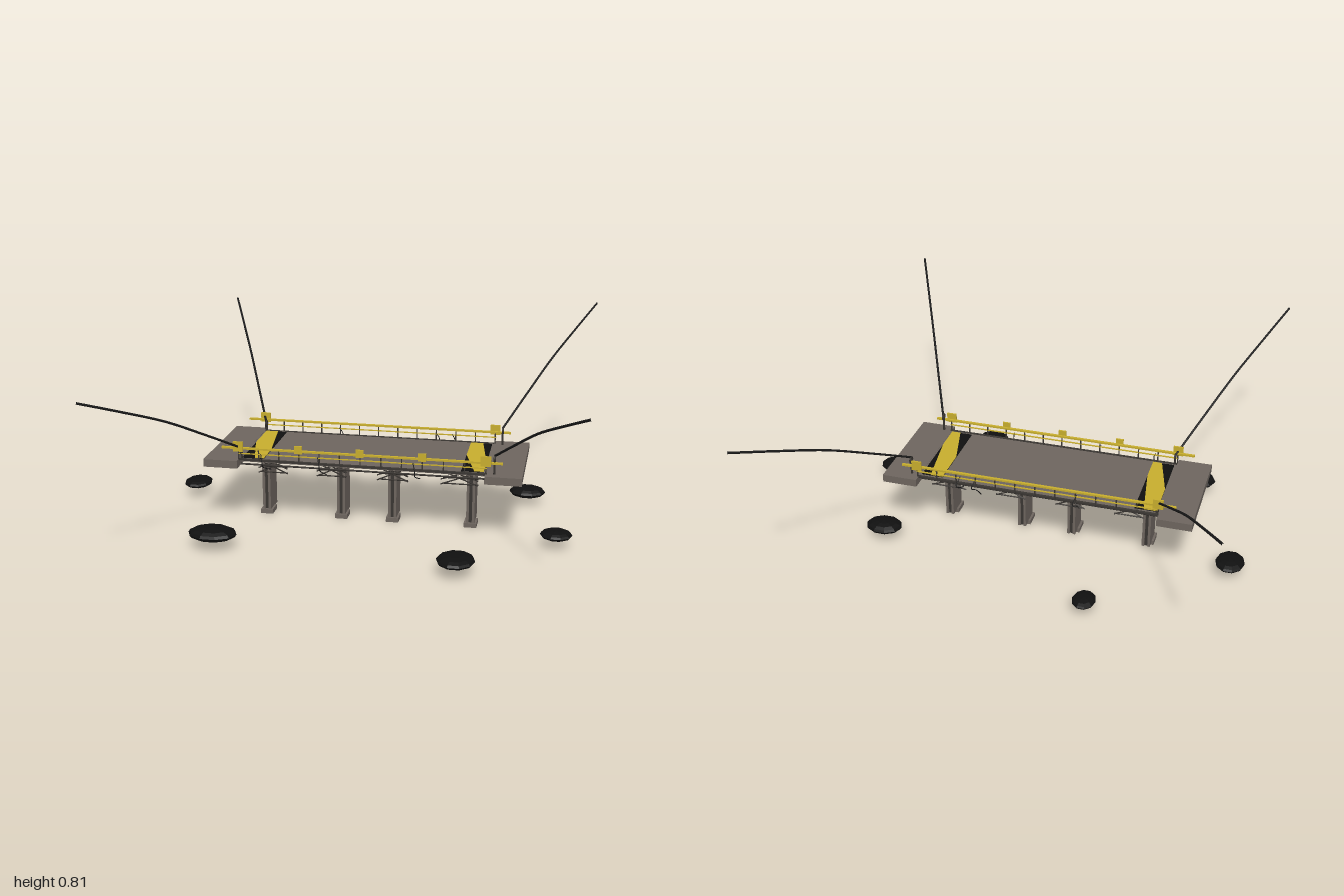
import * as THREE from 'three';

const mat = (name, color, flat = false) => {
  const m = new THREE.MeshStandardMaterial({ color, flatShading: flat });
  m.name = name;
  return m;
};

export function createModel() {
  const root = new THREE.Group();
  root.name = 'suspendedBridge';
  const concrete = mat('concrete', 0x6e665f);
  const yellow = mat('warningYellow', 0xc8ae2e);
  const black = mat('black', 0x101010, true);
  const steel = mat('darkSteel', 0x3a3632);
  const cable = mat('cableBlack', 0x1c1c1c);

  const add = (name, geo, m, x = 0, y = 0, z = 0) => {
    const mesh = new THREE.Mesh(geo, m);
    mesh.name = name;
    mesh.position.set(x, y, z);
    root.add(mesh);
    return mesh;
  };
  const box = (name, m, w, h, d, x, y, z) => add(name, new THREE.BoxGeometry(w, h, d), m, x, y, z);
  const V = (x, y, z) => new THREE.Vector3(x, y, z);
  // straight round bar between two points
  const bar = (name, m, a, b, r, sides = 6) => {
    const mesh = add(name, new THREE.CylinderGeometry(r, r, a.distanceTo(b), sides), m);
    mesh.position.copy(a).add(b).multiplyScalar(0.5);
    mesh.quaternion.setFromUnitVectors(V(0, 1, 0), b.clone().sub(a).normalize());
    return mesh;
  };
  const tube = (name, m, pts, r, seg = 24) =>
    add(name, new THREE.TubeGeometry(new THREE.CatmullRomCurve3(pts), seg, r, 6), m);

  // deck and end platforms
  const cz = -0.005;
  box('deck', concrete, 1.08, 0.012, 0.41, -0.025, 0.297, cz);
  box('leftPlatform', concrete, 0.155, 0.034, 0.49, 0.58, 0.287, cz);
  box('rightPlatform', concrete, 0.15, 0.034, 0.49, -0.635, 0.287, cz);

  // stringers under the deck
  for (const z of [-0.18, -0.06, 0.06, 0.18])
    bar('stringer', steel, V(-0.56, 0.273, z), V(0.51, 0.273, z), 0.004);

  // hazard markings: black plate with a slanted yellow band
  for (const x0 of [-0.55, 0.4]) {
    const w = 0.095, z0 = -0.195, z1 = 0.187;
    box('hazardPlate', black, w, 0.003, z1 - z0, x0 + w / 2, 0.3045, (z0 + z1) / 2);
    const s = new THREE.Shape();
    s.moveTo(0, -z0);
    s.lineTo(0.055, -z0);
    s.lineTo(w, -z1 + 0.12);
    s.lineTo(w, -z1);
    s.lineTo(0.055, -z1);
    s.lineTo(0, 0.02);
    const g = new THREE.ExtrudeGeometry(s, { depth: 0.002, bevelEnabled: false });
    g.rotateX(-Math.PI / 2);
    add('hazardBand', g, yellow, x0, 0.3055, 0);
  }

  // columns with flanges, recessed web and offset footing
  for (const x of [-0.485, -0.145, 0.085, 0.43]) {
    for (const s of [-1, 1]) box('columnFlange', concrete, 0.011, 0.28, 0.105, x + s * 0.0125, 0.155, 0.002);
    box('columnWeb', steel, 0.016, 0.28, 0.09, x, 0.155, 0.002);
    box('footing', concrete, 0.055, 0.02, 0.07, x, 0.01, 0.025);
  }

  // railings
  for (const s of [-1, 1]) {
    const z = cz + s * 0.214;
    box('topRail', yellow, 1.21, 0.008, 0.012, -0.03, 0.354, z);
    box('lowerRail', yellow, 1.07, 0.004, 0.006, -0.025, 0.33, z);
    box('deckCurb', steel, 1.07, 0.008, 0.012, -0.025, 0.301, z - s * 0.006);
    for (let i = 0; i <= 12; i++)
      box('railPost', steel, 0.005, 0.055, 0.005, -0.56 + i * 0.0888, 0.327, z);
    // warning signs, five in front and two at the back
    for (let i = 0; i < 5; i++) {
      const end = i % 4 === 0;
      if (s < 0 && !end) continue;
      const size = end ? 0.044 : 0.034;
      box('railSign', yellow, size, size, 0.008, -0.56 + i * 0.2663, 0.363, z + s * 0.008);
    }
  }

  // broken bracing under the deck edges
  for (const s of [-1, 1])
    for (const [x0, x1] of [[-0.49, -0.36], [-0.23, -0.1], [0.035, 0.17], [0.31, 0.47]]) {
      const z = s * 0.15, w = x1 - x0;
      for (const y of [0.232, 0.258])
        bar('braceChord', steel, V(x0 + 0.01, y, z), V(x1, y, z), 0.003, 5);
      bar('braceDiagonal', steel, V(x0, 0.288, z), V(x1, 0.228, z), 0.003, 5);
      bar('braceDiagonal', steel, V(x1, 0.288, z), V(x0, 0.228, z), 0.003, 5);
      bar('braceDiagonal', steel, V(x0 + w * 0.25, 0.288, z), V(x1, 0.25, z), 0.003, 5);
      bar('braceDiagonal', steel, V(x1 - w * 0.25, 0.288, z), V(x0, 0.25, z), 0.003, 5);
    }

  // loose wires hanging from the deck edges
  for (const [x, s, drop] of [[-0.46, 1, 0.06], [-0.21, 1, 0.07], [0.2, 1, 0.06],
    [-0.21, -1, 0.09], [0.24, -1, 0.1], [0.31, -1, 0.06]])
    tube('looseWire', cable, [V(x, 0.335, s * 0.215), V(x + 0.012, 0.3, s * 0.24),
      V(x + 0.005, 0.27, s * 0.2), V(x + 0.015, 0.29 - drop, s * 0.11)], 0.002, 14);

  // four suspension cables with anchor rings
  for (const [x0, y0, x1, y1] of [[-0.55, 0.35, -0.918, 0.76], [0.54, 0.382, 0.922, 0.802]])
    for (const s of [-1, 1]) {
      const at = (t, lift) => V(x0 + (x1 - x0) * t, y0 + (y1 - y0) * t + lift, s * (0.195 + 0.803 * t));
      tube('suspensionCable', cable, [at(0, 0), at(0.25, 0.014), at(0.5, 0.024), at(0.75, 0.014), at(1, 0)], 0.005);
      const ring = add('anchorRing', new THREE.TorusGeometry(0.013, 0.004, 6, 12), steel, x0, y0 - 0.01, s * 0.2);
      ring.rotation.y = Math.PI / 2;
      bar('anchorPost', steel, V(x0, 0.3, s * 0.2), V(x0, y0, s * 0.2), 0.005);
    }

  // floating dark boulders: x, y, z and radii
  for (const [x, y, z, rx, ry, rz] of [
    [-0.865, 0.061, -0.125, 0.063, 0.021, 0.076], [-0.6, 0.067, 0.48, 0.104, 0.029, 0.076],
    [-0.333, 0.057, -0.545, 0.05, 0.018, 0.062], [0.427, 0.063, 0.56, 0.078, 0.023, 0.087],
    [0.806, 0.06, 0.215, 0.067, 0.021, 0.061], [0.655, 0.06, -0.28, 0.081, 0.025, 0.065]])
    add('boulder', new THREE.SphereGeometry(1, 10, 8), black, x, y, z).scale.set(rx, ry, rz);

  return root;
}
